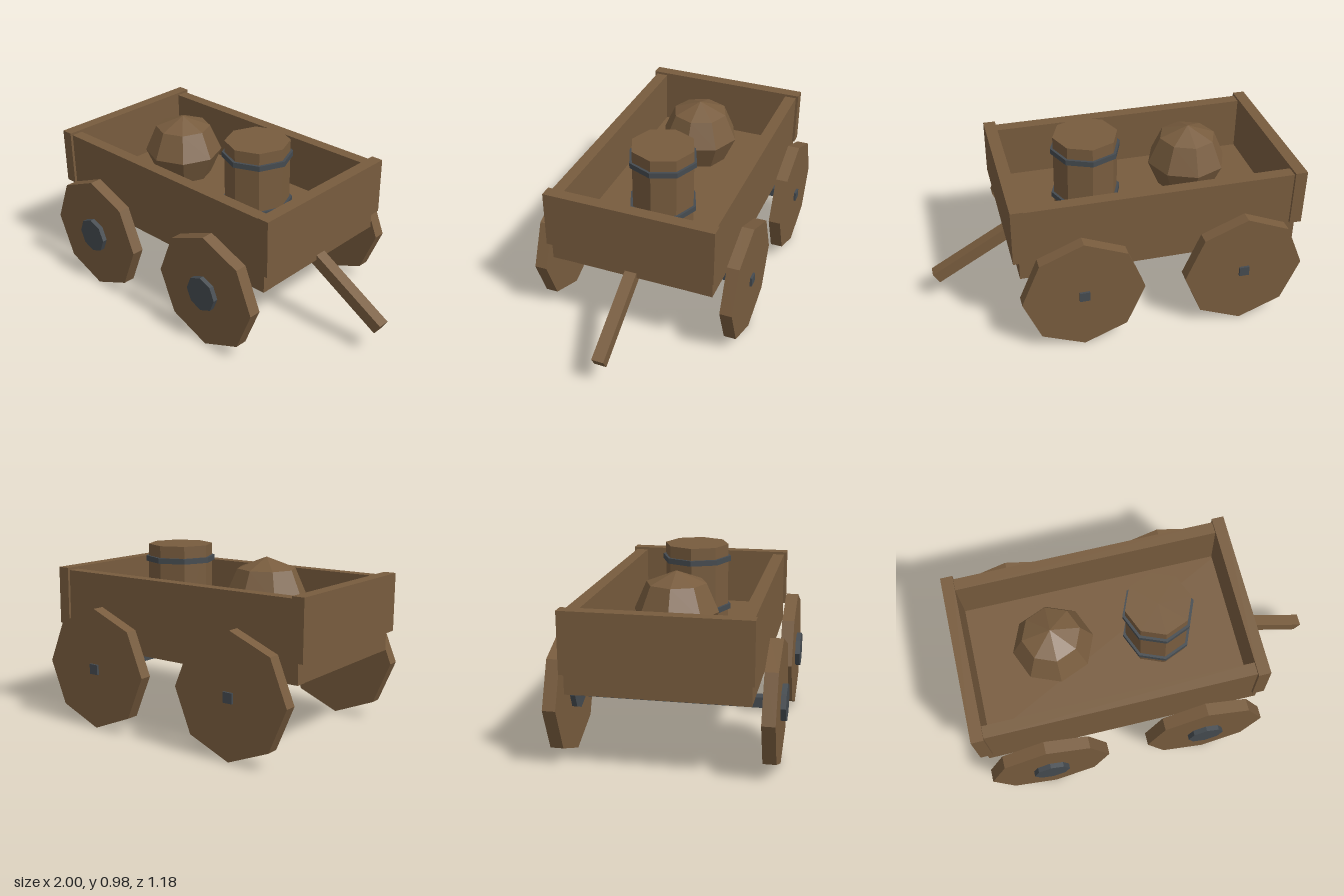
import * as THREE from 'three';

export function createModel() {
  const cart = new THREE.Group();
  cart.name = 'cart';
  cart.position.z = -0.0065;

  const wood = new THREE.MeshStandardMaterial({ color: 0x785c3e, flatShading: true });
  wood.name = 'wood';
  const iron = new THREE.MeshStandardMaterial({ color: 0x454b50, flatShading: true });
  iron.name = 'iron';

  const add = (name, geometry, material, x, y, z) => {
    const mesh = new THREE.Mesh(geometry, material);
    mesh.name = name;
    mesh.position.set(x, y, z);
    cart.add(mesh);
    return mesh;
  };
  const box = (name, w, h, d, x, y, z, material = wood) =>
    add(name, new THREE.BoxGeometry(w, h, d), material, x, y, z);
  const octagon = (r, h) => new THREE.CylinderGeometry(r, r, h, 8);

  // Cart bed: floor, long sides and taller end boards
  const mid = -0.202;
  box('floor', 1.53, 0.11, 0.79, mid, 0.477, 0);
  for (const s of [1, -1]) {
    box(s > 0 ? 'frontSide' : 'backSide', 1.53, 0.415, 0.067, mid, 0.6285, s * 0.4245);
    box(s > 0 ? 'leftEndBoard' : 'rightEndBoard', 0.067, 0.318, 0.945, mid + s * 0.765, 0.691, 0);
  }

  // Running gear: axles, wheels and hubs
  const axleY = 0.333;
  for (const x of [-0.647, 0.243]) {
    box('axle', 0.055, 0.055, 1.167, x, axleY, 0, iron);
    for (const s of [1, -1]) {
      add('wheel', octagon(0.333, 0.068), wood, x, axleY, s * 0.537).rotation.x = Math.PI / 2;
      add('hub', octagon(0.1, 0.06), iron, x, axleY, s * 0.537 + 0.031).rotation.x = Math.PI / 2;
    }
  }

  // Sloping tow bar
  const slope = THREE.MathUtils.degToRad(-30.3);
  const length = 0.6;
  box('towBar', length, 0.067, 0.067,
    0.983 - Math.cos(slope) * length / 2, 0.168 - Math.sin(slope) * length / 2, 0).rotation.z = slope;

  // Barrel with two hoops
  add('barrel', octagon(0.18, 0.445), wood, 0.102, 0.7525, 0);
  for (const y of [0.615, 0.894]) add('barrelHoop', octagon(0.195, 0.03), iron, 0.102, y, 0);

  // Round sack
  add('sack', new THREE.SphereGeometry(0.222, 8, 4), wood, -0.481, 0.738, 0).scale.y = 0.94;

  return cart;
}
